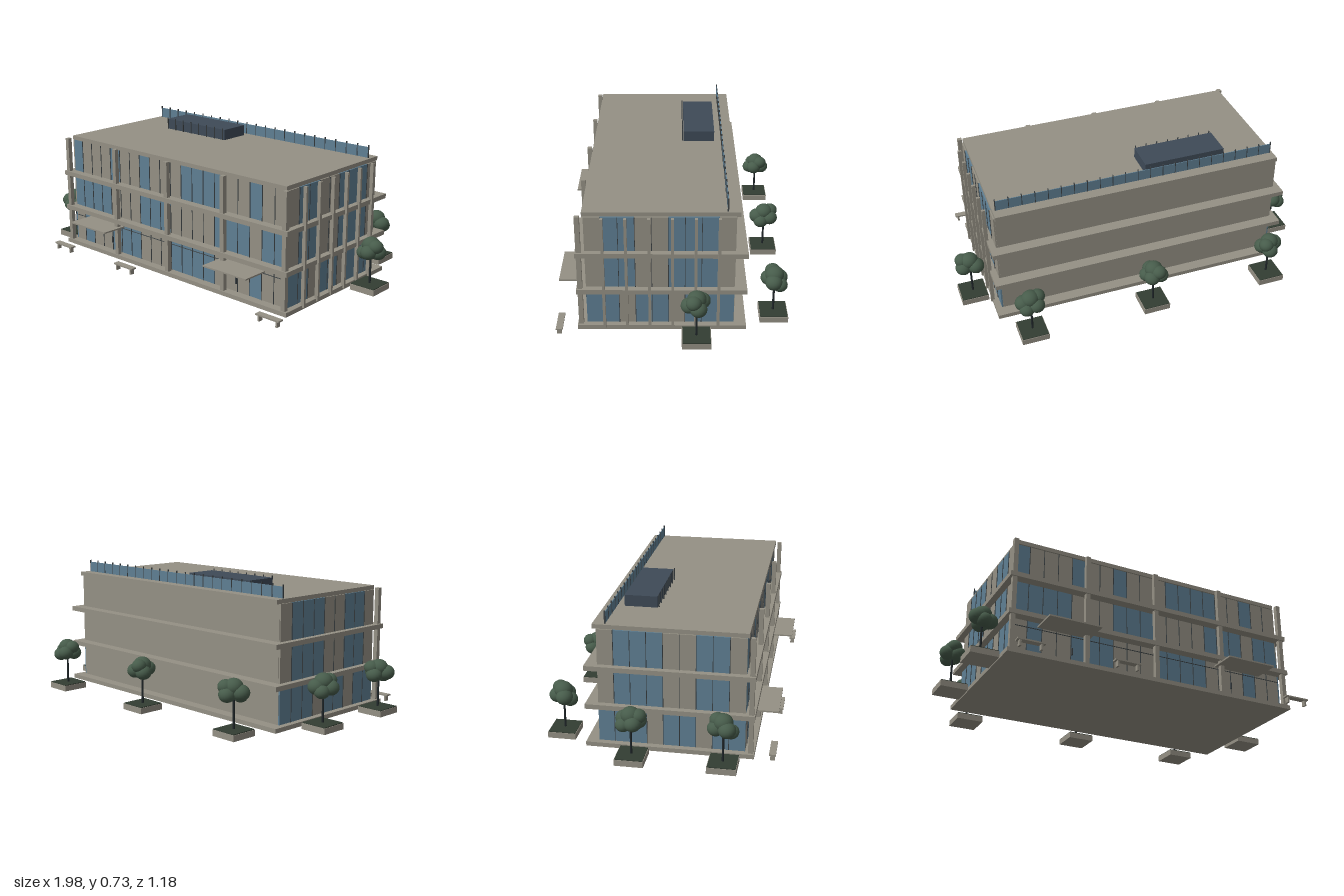
import * as THREE from 'three';

const mat = (name, color) => Object.assign(new THREE.MeshStandardMaterial({ color }), { name });

export function createModel() {
  const model = new THREE.Group();
  model.name = 'officeBuilding';
  const concrete = mat('concrete', 0x949084);
  const glass = mat('blueGlass', 0x5f7f93);
  const frame = mat('darkFrame', 0x3d4346);
  const slate = mat('slateMetal', 0x3e4a57);
  const leaf = mat('foliage', 0x475c4b);
  const bark = mat('bark', 0x20272a);
  const soil = mat('soil', 0x333d33);

  // Box given by its lower and upper limits on each axis
  const block = (name, parent, material, x0, x1, y0, y1, z0, z1) => {
    const mesh = new THREE.Mesh(new THREE.BoxGeometry(x1 - x0, y1 - y0, z1 - z0), material);
    mesh.position.set((x0 + x1) / 2, (y0 + y1) / 2, (z0 + z1) / 2);
    mesh.name = name;
    parent.add(mesh);
    return mesh;
  };

  // Floor slabs and the smaller roof slab
  for (const [y0, y1] of [[0.01, 0.033], [0.217, 0.242], [0.424, 0.449]]) {
    block('floorSlab', model, concrete, -0.825, 0.825, y0, y1, -0.362, 0.487);
  }
  block('roofSlab', model, concrete, -0.786, 0.786, 0.635, 0.657, -0.322, 0.448);

  // A storey face: panels along local x, glazed where the code is 1
  const facade = (name, code, width, y0, y1) => {
    const group = new THREE.Group();
    group.name = name;
    const step = width / code.length;
    [...code].forEach((c, i) => {
      const x = -width / 2 + i * step;
      block(c === '1' ? 'windowPane' : 'wallPanel', group, c === '1' ? glass : concrete,
        x, x + step, y0, y1, -0.008, 0);
      if (i > 0) block('mullion', group, frame, x - 0.0015, x + 0.0015, y0, y1, -0.006, 0.003);
    });
    model.add(group);
    return group;
  };

  const storeys = [
    { y0: 0.033, y1: 0.214, front: '01001110001111000100', side: '110110111' },
    { y0: 0.242, y1: 0.421, front: '11110001110000111011', side: '011001110' },
    { y0: 0.449, y1: 0.635, front: '10001001000111100100', side: '011001110' },
  ];
  for (const { y0, y1, front, side } of storeys) {
    facade('frontFacade', front, 1.58, y0, y1).position.z = 0.44;
    for (const s of [1, -1]) {
      const wall = facade('sideFacade', s > 0 ? side : [...side].reverse().join(''), 0.74, y0, y1);
      wall.rotation.y = s * Math.PI / 2;
      wall.position.set(s * 0.793, 0, 0.07);
    }
    block('backWall', model, concrete, -0.785, 0.785, y0, y1 + 0.003, -0.302, -0.28);
  }
  // Ground floor transom
  block('transom', model, frame, -0.79, 0.79, 0.178, 0.181, 0.436, 0.443);

  // Front columns and the fins along the left flank
  for (let i = -2; i <= 2; i++) {
    block('frontColumn', model, concrete, i * 0.4 - 0.012, i * 0.4 + 0.012, 0.033, 0.643, 0.457, 0.481);
  }
  for (let i = 0; i < 6; i++) {
    const z = 0.35 - i * 0.114;
    block('sideFin', model, concrete, 0.815, 0.835, 0.02, 0.643, z - 0.007, z + 0.007);
  }

  // Entrance canopies and door handles
  for (const s of [-1, 1]) {
    block('entranceCanopy', model, concrete, s * 0.514 - 0.142, s * 0.514 + 0.142, 0.188, 0.196, 0.443, 0.592);
    block('doorHandle', model, frame, s * 0.47 - 0.003, s * 0.47 + 0.003, 0.078, 0.115, 0.443, 0.452);
  }

  // Roof plant unit with a row of slats in front
  block('roofUnit', model, slate, -0.51, -0.057, 0.657, 0.716, -0.22, -0.05);
  for (let i = 0; i < 8; i++) {
    const x = -0.5 + i * 0.062;
    block('unitSlat', model, frame, x - 0.002, x + 0.002, 0.657, 0.725, -0.046, -0.041);
  }

  // Glass railing along the back of the roof
  block('railingGlass', model, glass, -0.77, 0.77, 0.657, 0.714, -0.262, -0.258);
  for (let i = 0; i <= 22; i++) {
    const x = -0.77 + i * 0.07;
    block('railingPost', model, frame, x - 0.002, x + 0.002, 0.657, 0.725, -0.263, -0.256);
  }

  // Benches
  for (const x of [-0.742, -0.228, 0.793]) {
    const bench = new THREE.Group();
    bench.name = 'bench';
    bench.position.x = x;
    block('benchSeat', bench, concrete, -0.072, 0.072, 0.03, 0.038, 0.56, 0.594);
    for (const s of [-1, 1]) {
      block('benchLeg', bench, concrete, s * 0.055 - 0.005, s * 0.055 + 0.005, 0, 0.03, 0.566, 0.59);
    }
    model.add(bench);
  }

  // Trees in square planters, each crown a turned cluster of balls
  const ball = new THREE.SphereGeometry(1, 18, 12);
  const trunk = new THREE.CylinderGeometry(0.005, 0.006, 0.17, 10);
  const crown = [[0, 0.245, 0, 0.048], [0.036, 0.215, 0.01, 0.043], [-0.036, 0.22, 0.014, 0.044],
    [0.01, 0.21, -0.036, 0.043], [-0.01, 0.2, 0.036, 0.04], [0.03, 0.245, -0.026, 0.04]];
  const spots = [[-0.685, -0.51], [0, -0.51], [0.68, -0.51], [-0.91, -0.11], [0.91, -0.11], [-0.91, 0.345]];
  spots.forEach(([x, z], n) => {
    const tree = new THREE.Group();
    tree.name = 'plantedTree';
    tree.position.set(x, 0, z);
    block('planter', tree, concrete, -0.073, 0.073, 0, 0.032, -0.073, 0.073);
    block('planterSoil', tree, soil, -0.07, 0.07, 0.032, 0.036, -0.07, 0.07);
    const stem = new THREE.Mesh(trunk, bark);
    stem.name = 'trunk';
    stem.position.y = 0.12;
    const leaves = new THREE.Group();
    leaves.name = 'crown';
    leaves.rotation.y = n * 1.3;
    for (const [bx, by, bz, r] of crown) {
      const blob = new THREE.Mesh(ball, leaf);
      blob.name = 'leafBall';
      blob.position.set(bx, by, bz);
      blob.scale.set(r, r * 0.9, r);
      leaves.add(blob);
    }
    tree.add(stem, leaves);
    model.add(tree);
  });
  return model;
}
